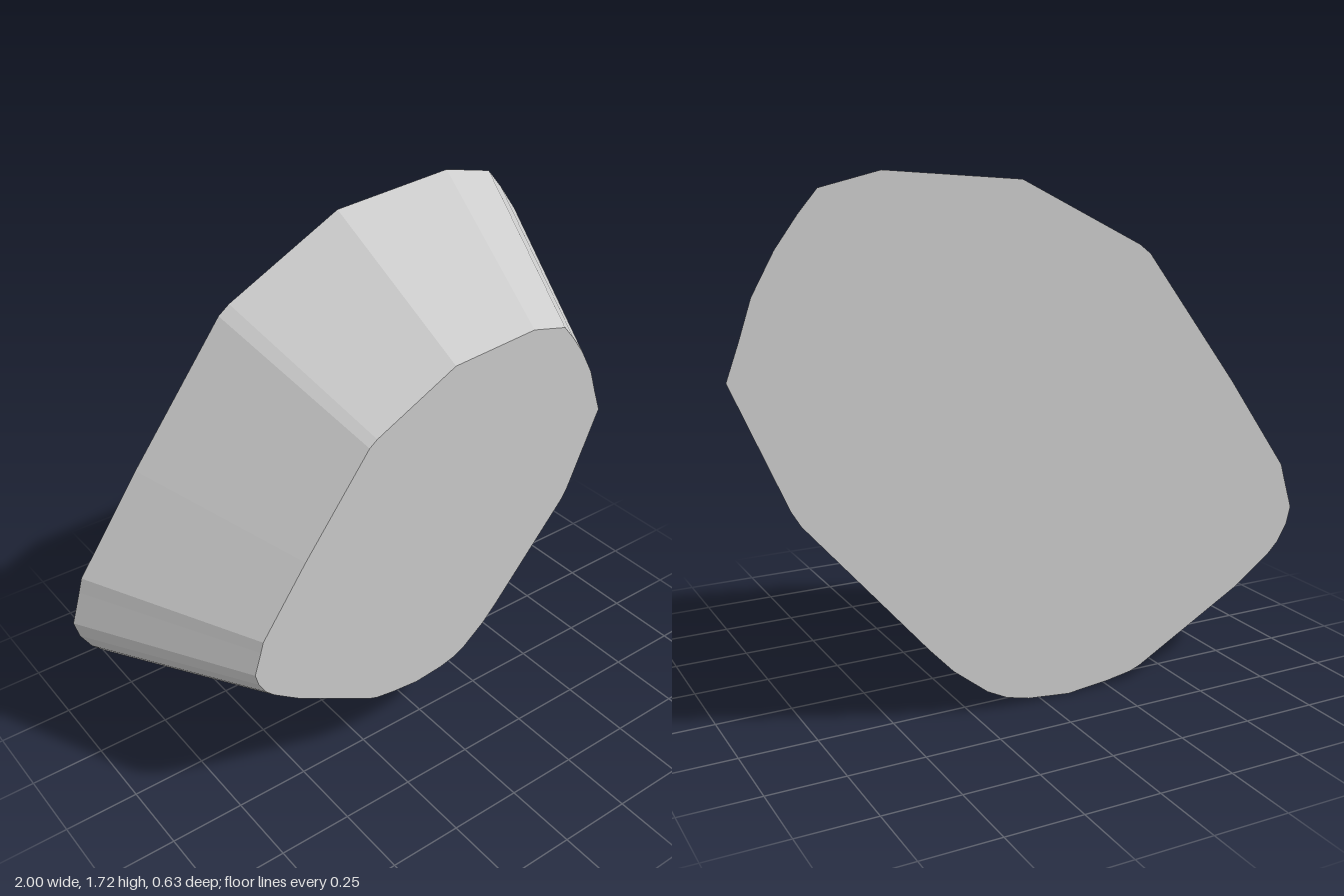
import * as THREE from 'three';

// Rear outline, counter-clockwise seen from the front
const OUTLINE = [
  [1, 1.15], [0.96, 1.26], [0.92, 1.38], [0.85, 1.505], [0.78, 1.6], [0.72, 1.67],
  [0.53, 1.715], [0.08, 1.68], [-0.34, 1.47], [-0.38, 1.44], [-0.72, 1.0],
  [-0.95, 0.68], [-0.965, 0.63], [-1, 0.52], [-0.985, 0.46], [-0.95, 0.4],
  [-0.91, 0.36], [-0.77, 0.26], [-0.38, 0.045], [-0.34, 0.03], [-0.25, 0.015],
  [-0.1, 0], [0.05, 0.015], [0.13, 0.035], [0.2, 0.07], [0.32, 0.165],
  [0.4, 0.25], [0.8, 0.71], [0.83, 0.76],
];
const DEPTH = 0.63;
const TAPER = 0.7; // front outline relative to the rear one
const CENTRE_Y = 0.72;

export function createModel() {
  const group = new THREE.Group();
  group.name = 'taperedBlock';

  const grey = new THREE.MeshStandardMaterial({ color: 0xcccccc, flatShading: true });
  grey.name = 'light grey';

  // Extrude the outline, then shrink its front end
  const shape = new THREE.Shape(OUTLINE.map(([x, y]) => new THREE.Vector2(x, y)));
  const geometry = new THREE.ExtrudeGeometry(shape, { depth: DEPTH, bevelEnabled: false });
  geometry.translate(0, 0, -DEPTH / 2);
  const p = geometry.attributes.position;
  for (let i = 0; i < p.count; i++) {
    if (p.getZ(i) < 0) continue;
    p.setX(i, p.getX(i) * TAPER);
    p.setY(i, CENTRE_Y + (p.getY(i) - CENTRE_Y) * TAPER);
  }
  geometry.computeVertexNormals();

  const body = new THREE.Mesh(geometry, grey);
  body.name = 'body';
  group.add(body);
  return group;
}
